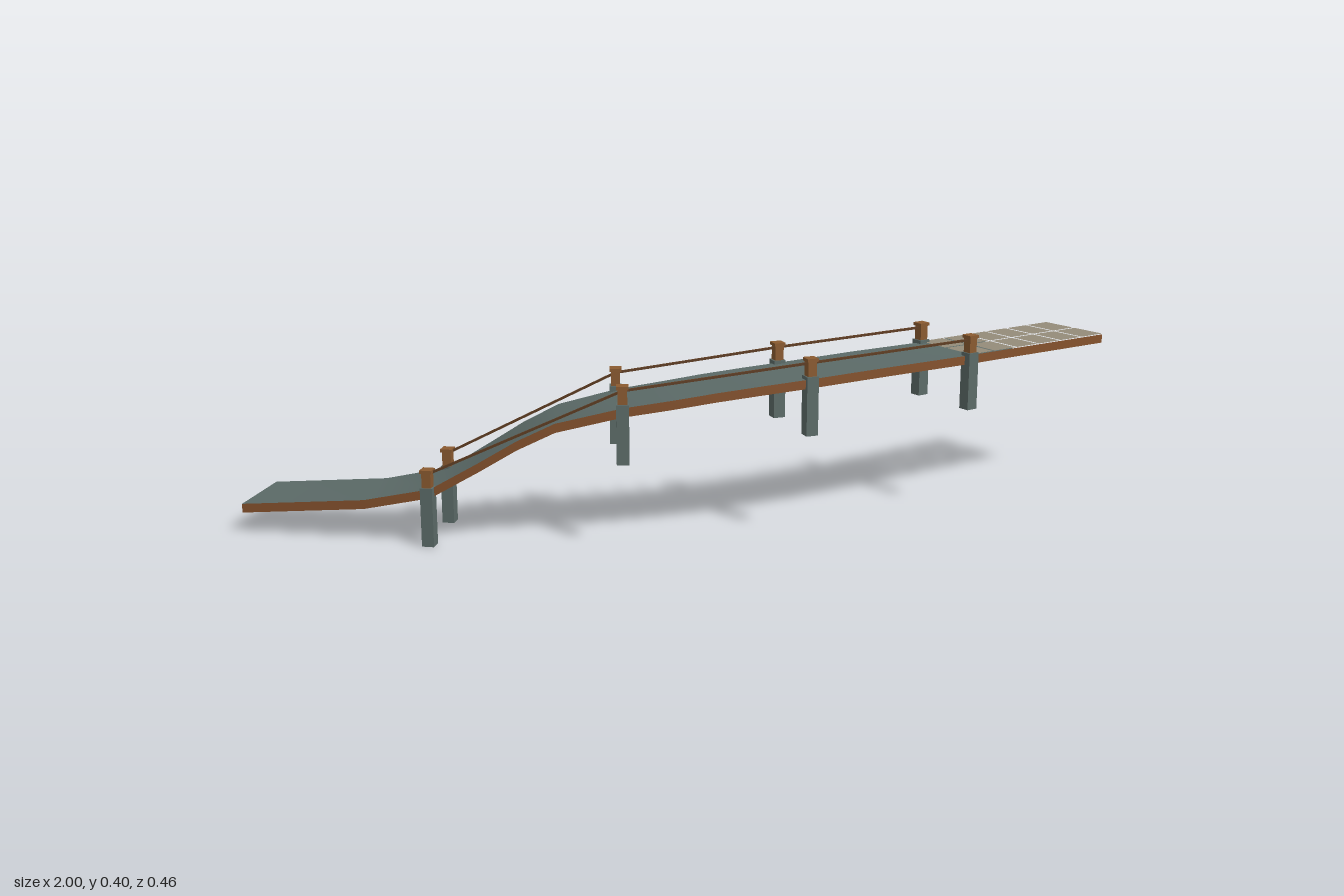
import * as THREE from 'three';

const mat = (name, color, extra = {}) => {
  const m = new THREE.MeshStandardMaterial({ color, ...extra });
  m.name = name;
  return m;
};

// Cross-sections of the walkway: outer x, outer z, inner x, inner z, height
const STATIONS = [
  [-1.0, -0.058, -0.93, -0.213, 0.065],
  [-0.74, 0.055, -0.685, -0.1, 0.092],
  [-0.6, 0.112, -0.55, -0.046, 0.125],
  [-0.5, 0.143, -0.46, -0.016, 0.185],
  [-0.42, 0.166, -0.385, 0.005, 0.235],
  [-0.34, 0.187, -0.31, 0.022, 0.275],
  [-0.2, 0.215, -0.185, 0.045, 0.308],
  [-0.1, 0.228, -0.092, 0.054, 0.322],
  [0.0, 0.232, 0.0, 0.057, 0.335],
  [0.1, 0.228, 0.09, 0.054, 0.344],
  [0.2, 0.215, 0.18, 0.044, 0.35],
  [0.4, 0.165, 0.36, 0.0, 0.357],
  [0.61, 0.09, 0.545, -0.062, 0.357],
  [0.73, 0.039, 0.665, -0.116, 0.356],
  [0.998, -0.075, 0.92, -0.227, 0.353],
];

// Sheet between two point rows of equal length
function strip(rowA, rowB) {
  const pos = [], idx = [];
  rowA.forEach((a, i) => {
    pos.push(...a, ...rowB[i]);
    if (i) {
      const k = 2 * i;
      idx.push(k - 2, k, k - 1, k, k + 1, k - 1);
    }
  });
  const g = new THREE.BufferGeometry();
  g.setAttribute('position', new THREE.Float32BufferAttribute(pos, 3));
  g.setIndex(idx);
  g.computeVertexNormals();
  return g;
}

export function createModel() {
  const root = new THREE.Group();
  root.name = 'curvedWalkway';
  const sheet = { side: THREE.DoubleSide };
  const slate = mat('slate green', 0x5c6b68);
  const deckMat = mat('deck green', 0x5c6b68, sheet);
  const wood = mat('post wood', 0x8a5a30);
  const fasciaMat = mat('fascia wood', 0x85522d, sheet);
  const railMat = mat('rail wood', 0x5f3d22);
  const tileMat = mat('tile stone', 0x948b79, sheet);

  const add = (name, geo, material, parent = root) => {
    const m = new THREE.Mesh(geo, material);
    m.name = name;
    parent.add(m);
    return m;
  };

  const outer = STATIONS.map(([x, z, , , y]) => [x, y, z]);
  const inner = STATIONS.map(([, , x, z, y]) => [x, y, z]);

  // Deck ends part-way under the tiles; the fascia runs the whole outer edge
  add('deck', strip(outer.slice(0, -1), inner.slice(0, -1)), deckMat);
  add('outerFascia', strip(outer.map(([x, y, z]) => [x, y - 0.02, z]), outer), fasciaMat);

  // Two rows of paving tiles over the left end
  const at = (list, t) => {
    const n = list.length, a = new THREE.Vector3(...list[n - 3]), b = new THREE.Vector3(...list[n - 1]);
    return a.lerp(b, t);
  };
  const tilePoint = (u, v) => {
    const p = at(outer, u).lerp(at(inner, u), v);
    return [p.x, p.y + 0.002, p.z];
  };
  const COLS = 6, ROWS = 2, gu = 0.007, gv = 0.016;
  for (let c = 0; c < COLS; c++) {
    for (let r = 0; r < ROWS; r++) {
      const u0 = c / COLS + (c ? gu : 0), u1 = (c + 1) / COLS - (c < COLS - 1 ? gu : 0);
      const v0 = r / ROWS + (r ? gv : 0), v1 = (r + 1) / ROWS - (r < ROWS - 1 ? gv : 0);
      add('tile', strip([tilePoint(u0, v0), tilePoint(u1, v0)], [tilePoint(u0, v1), tilePoint(u1, v1)]), tileMat);
    }
  }

  // Posts: x, z, foot height, turn about y
  const POSTS = {
    outer: [[-0.605, 0.111, 0, 0.38], [-0.2, 0.212, 0.187, 0.15], [0.207, 0.208, 0.227, -0.17], [0.607, 0.092, 0.235, -0.4]],
    inner: [[-0.551, -0.046, 0, 0.38], [-0.188, 0.046, 0.187, 0.15], [0.176, 0.044, 0.227, -0.17], [0.543, -0.059, 0.235, -0.4]],
  };
  // The turn is the heading of the walkway, which falls toward -z at both ends
  const box = (w, h) => new THREE.BoxGeometry(w, h, w);
  const body = box(0.027, 0.13), neck = box(0.02, 0.036), cap = box(0.026, 0.007);
  for (const [side, posts] of Object.entries(POSTS)) {
    posts.forEach(([x, z, y, turn]) => {
      const g = new THREE.Group();
      g.name = side + 'Post';
      g.position.set(x, y, z);
      g.rotation.y = -turn;
      root.add(g);
      add('postBody', body, slate, g).position.y = 0.065;
      add('postNeck', neck, wood, g).position.y = 0.146;
      add('postCap', cap, wood, g).position.y = 0.166;
    });

    // Straight handrails between neighbouring posts
    for (let i = 1; i < posts.length; i++) {
      const [a, b] = [posts[i - 1], posts[i]].map(([x, z, y]) => new THREE.Vector3(x, y + 0.158, z));
      const rail = add(side + 'Rail', new THREE.BoxGeometry(0.005, 0.005, a.distanceTo(b)), railMat);
      rail.position.copy(a).lerp(b, 0.5);
      rail.lookAt(b);
    }
  }
  return root;
}
